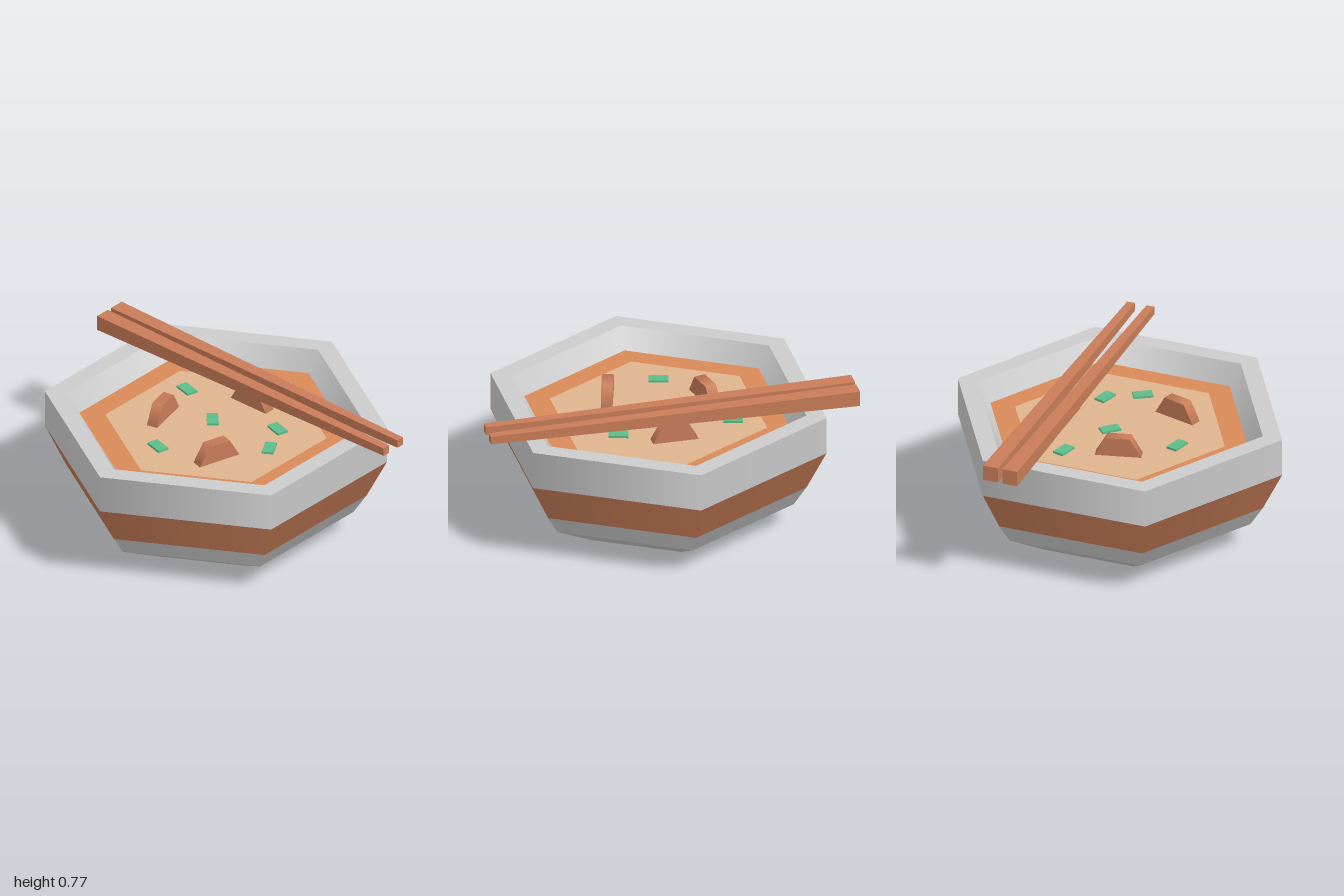
import * as THREE from 'three';

const mat = (color) => new THREE.MeshStandardMaterial({ color });

export function createModel() {
  const group = new THREE.Group();
  const grey = mat(0xcccccc), clay = mat(0xc87c58), broth = mat(0xd88a58);
  const cream = mat(0xe0b48e), green = mat(0x5cbc8a);

  const add = (name, geometry, material, x = 0, y = 0, z = 0, turn = 0) => {
    const mesh = new THREE.Mesh(geometry, material);
    mesh.name = name;
    mesh.position.set(x, y, z);
    mesh.rotation.y = turn;
    group.add(mesh);
    return mesh;
  };

  // Six-sided ring between two [radius, height] points, smooth around
  const ring = (name, a, b, material) => add(name,
    new THREE.LatheGeometry([new THREE.Vector2(...a), new THREE.Vector2(...b)], 6), material);

  // Six-sided flat disc facing up or down, with a corner at the front
  const disc = (name, radius, y, material, up = true) => {
    const g = new THREE.CircleGeometry(radius, 6, Math.PI / 2);
    g.rotateX(up ? -Math.PI / 2 : Math.PI / 2);
    return add(name, g, material, 0, y, 0);
  };

  // Bowl, from the underside up the outer wall, over the rim and down inside
  disc('bowlBase', 0.49, 0, grey, false);
  ring('bowlFoot', [0.49, 0], [0.74, 0.14], grey);
  ring('bowlLowerWall', [0.74, 0.14], [0.81, 0.25], grey);
  ring('bowlColourBand', [0.81, 0.25], [0.92, 0.47], clay);
  ring('bowlUpperWall', [0.92, 0.47], [0.92, 0.68], grey);
  ring('bowlRim', [0.92, 0.68], [0.81, 0.68], grey);
  ring('bowlInnerWall', [0.81, 0.68], [0.735, 0.57], grey);

  // Soup with a paler middle
  disc('soup', 0.735, 0.57, broth);
  disc('soupCentre', 0.595, 0.576, cream);

  // Half-round slices standing in the soup
  const slice = new THREE.CylinderGeometry(0.127, 0.127, 0.062, 6);
  slice.rotateY(Math.PI / 2);
  slice.rotateX(Math.PI / 2);
  [[-0.28, 0.105, -1.33], [0.217, 0.24, 1.29], [-0.012, -0.3, 0]].forEach(
    ([x, z, turn]) => add('slice', slice, clay, x, 0.57, z, turn));

  // Chopped green pieces
  const leaf = new THREE.BoxGeometry(0.105, 0.02, 0.062);
  [[-0.36, -0.175, -0.25], [0.265, -0.19, -0.28], [-0.055, -0.035, -0.8],
    [0.362, -0.015, -1.03], [-0.09, 0.36, -0.25]].forEach(
    ([x, z, turn]) => add('greenPiece', leaf, green, x, 0.578, z, turn));

  // Pair of square chopsticks, tapering towards +x
  const stick = new THREE.BoxGeometry(2, 0.085, 0.085);
  const p = stick.attributes.position;
  for (let i = 0; i < p.count; i++) {
    if (p.getX(i) > 0) p.setXYZ(i, 1, p.getY(i) * 0.52, p.getZ(i) * 0.52);
  }
  stick.computeVertexNormals();
  for (const z of [-0.336, -0.226]) add('chopstick', stick, clay, 0, 0.727, z);

  return group;
}
